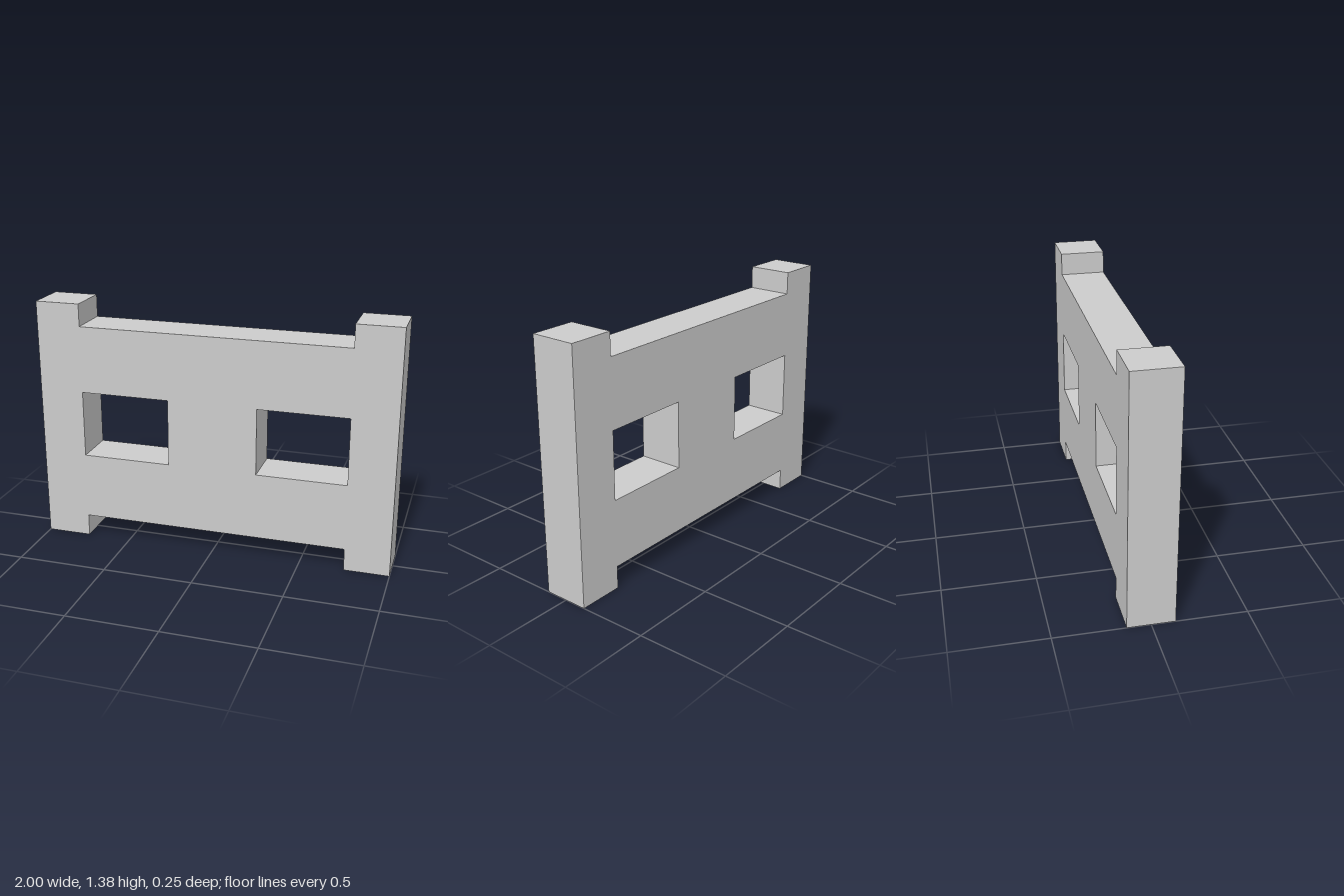
import * as THREE from 'three';

const HALF = 1, INNER = 0.75, HEIGHT = 1.375, NOTCH = 0.125, DEPTH = 0.25;

// One solid slab: two end posts joined by a panel with two openings
export function createModel() {
  const group = new THREE.Group();
  group.name = 'wallPanel';
  const lightGrey = new THREE.MeshStandardMaterial({ color: 0xcccccc });
  lightGrey.name = 'light grey';

  // Outline, stepped in above and below between the posts
  const outline = new THREE.Shape([
    [-HALF, 0], [-INNER, 0], [-INNER, NOTCH], [INNER, NOTCH], [INNER, 0], [HALF, 0],
    [HALF, HEIGHT], [INNER, HEIGHT], [INNER, HEIGHT - NOTCH],
    [-INNER, HEIGHT - NOTCH], [-INNER, HEIGHT], [-HALF, HEIGHT],
  ].map(([x, y]) => new THREE.Vector2(x, y)));

  // Mirrored rectangular openings beside the posts
  for (const side of [-1, 1]) {
    outline.holes.push(new THREE.Path([
      [0.25, 0.5], [0.25, 0.875], [INNER, 0.875], [INNER, 0.5],
    ].map(([x, y]) => new THREE.Vector2(side * x, y))));
  }

  const geometry = new THREE.ExtrudeGeometry(outline, { depth: DEPTH, bevelEnabled: false });
  geometry.translate(0, 0, -DEPTH / 2);
  const panel = new THREE.Mesh(geometry, lightGrey);
  panel.name = 'panelWithPosts';
  group.add(panel);
  return group;
}
